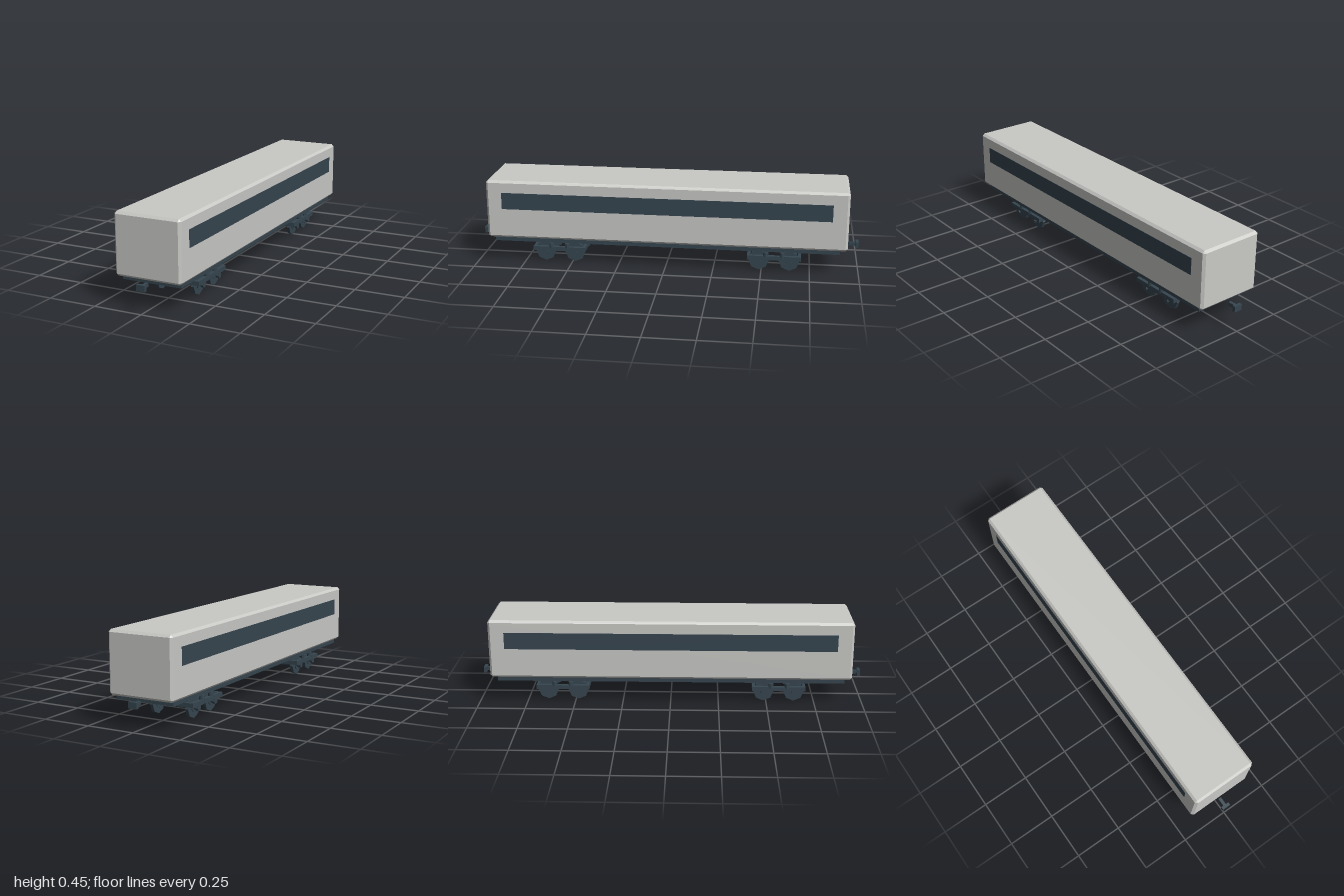
import * as THREE from 'three';
import { ConvexGeometry } from 'three/addons/geometries/ConvexGeometry.js';

const paint = (name, color) => {
  const m = new THREE.MeshStandardMaterial({ color });
  m.name = name;
  return m;
};

export function createModel() {
  const shell = paint('light grey shell', 0xc9c9c6);
  const dark = paint('dark slate', 0x36454f);

  const car = new THREE.Group();
  car.name = 'railwayCar';

  const add = (parent, name, geometry, material, x = 0, y = 0, z = 0) => {
    const mesh = new THREE.Mesh(geometry, material);
    mesh.name = name;
    mesh.position.set(x, y, z);
    parent.add(mesh);
    return mesh;
  };
  const box = (parent, name, w, h, d, x, y, z, material = dark) =>
    add(parent, name, new THREE.BoxGeometry(w, h, d), material, x, y, z);

  // Eight-sided cylinder lying along x, one corner pointing straight down
  const roller = (parent, name, r, length, x, y, z) => {
    const g = new THREE.CylinderGeometry(r, r, length, 8).toNonIndexed();
    g.computeVertexNormals();
    g.rotateZ(Math.PI / 2);
    return add(parent, name, g, dark, x, y, z);
  };

  // Box with every edge chamfered: hull of the six inset faces
  const chamferBox = (w, h, d, c) => {
    const [X, Y, Z] = [w / 2, h / 2, d / 2];
    const points = [];
    for (const sx of [-1, 1]) for (const sy of [-1, 1]) for (const sz of [-1, 1]) {
      points.push(
        new THREE.Vector3(sx * X, sy * (Y - c), sz * (Z - c)),
        new THREE.Vector3(sx * (X - c), sy * Y, sz * (Z - c)),
        new THREE.Vector3(sx * (X - c), sy * (Y - c), sz * Z));
    }
    return new ConvexGeometry(points);
  };

  // Body, window bands and floor frame
  add(car, 'body', chamferBox(0.348, 0.31, 1.874, 0.012), shell, 0, 0.296, 0);
  for (const s of [-1, 1]) {
    box(car, 'windowBand', 0.004, 0.088, 1.71, s * 0.1735, 0.343, 0);
  }
  box(car, 'underframe', 0.312, 0.024, 1.80, 0, 0.13, 0);

  // Couplers
  for (const s of [-1, 1]) {
    box(car, 'couplerShank', 0.016, 0.018, 0.045, 0, 0.127, s * 0.9645);
    box(car, 'couplerHead', 0.045, 0.031, 0.015, 0, 0.126, s * 0.9925);
  }

  // Bogies
  for (const end of [-1, 1]) {
    const bogie = new THREE.Group();
    bogie.name = end > 0 ? 'frontBogie' : 'rearBogie';
    bogie.position.z = end * 0.565;
    car.add(bogie);

    // Frame: end beams and side rails, with springs on the rails
    for (const s of [-1, 1]) {
      box(bogie, 'endBeam', 0.236, 0.022, 0.016, 0, 0.076, s * 0.131);
      box(bogie, 'sideRail', 0.02, 0.022, 0.278, s * 0.128, 0.076, 0);
      for (const z of [-0.042, 0.042]) {
        const spring = new THREE.CylinderGeometry(0.013, 0.013, 0.027, 8).toNonIndexed();
        spring.computeVertexNormals();
        add(bogie, 'spring', spring, dark, s * 0.129, 0.0935, z);
      }
    }

    // Wheelsets
    for (const z of [-0.079, 0.079]) {
      roller(bogie, 'axle', 0.01, 0.25, 0, 0.0535, z);
      for (const s of [-1, 1]) {
        roller(bogie, 'wheel', 0.0535, 0.016, s * 0.099, 0.0535, z);
        roller(bogie, 'wheelHub', 0.024, 0.022, s * 0.1, 0.0535, z);
        roller(bogie, 'axleBox', 0.015, 0.015, s * 0.1295, 0.0535, z);
        box(bogie, 'axleBoxMount', 0.018, 0.022, 0.024, s * 0.129, 0.07, z);
      }
    }
  }
  return car;
}
